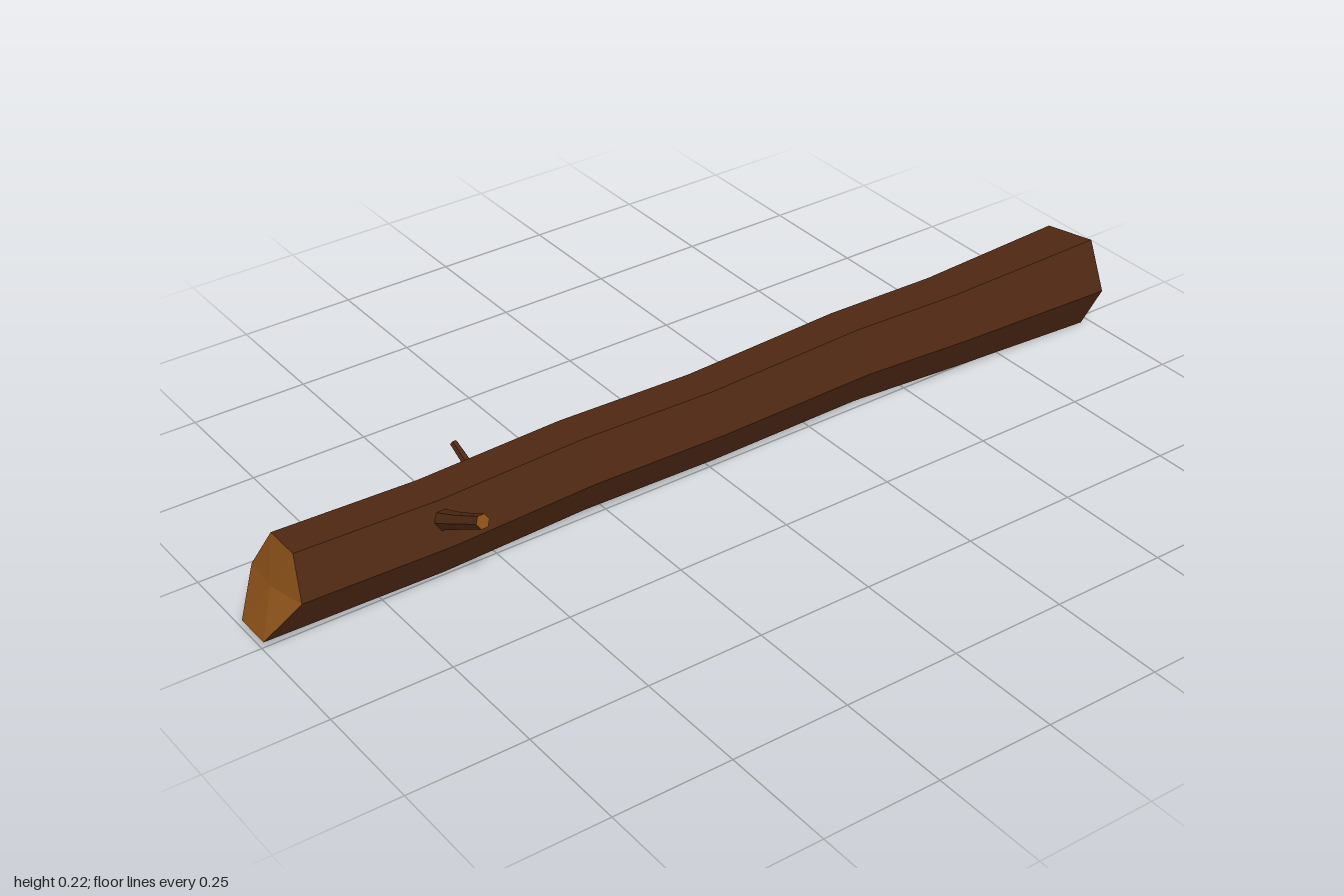
import * as THREE from 'three';

const bark = new THREE.MeshStandardMaterial({ color: 0x4e2813, flatShading: true });
const cutWood = new THREE.MeshStandardMaterial({ color: 0x8a5018, flatShading: true });
const SIDES = 6;

function meshFrom(triangles, material, name) {
  const geometry = new THREE.BufferGeometry().setFromPoints(triangles);
  geometry.computeVertexNormals();
  const mesh = new THREE.Mesh(geometry, material);
  mesh.name = name;
  return mesh;
}

// Skin between successive rings of points
function skin(rings, name) {
  const tris = [];
  for (let i = 0; i < rings.length - 1; i++) {
    for (let j = 0; j < SIDES; j++) {
      const k = (j + 1) % SIDES;
      const [a, b, c, d] = [rings[i][j], rings[i + 1][j], rings[i + 1][k], rings[i][k]];
      tris.push(a, b, d, b, c, d);
    }
  }
  return meshFrom(tris, bark, name);
}

// Fan that closes one ring
function cap(ring, atEnd, name) {
  const centre = ring.reduce((s, p) => s.add(p), new THREE.Vector3()).divideScalar(SIDES);
  const tris = [];
  ring.forEach((p, j) => {
    const q = ring[(j + 1) % SIDES];
    tris.push(centre, atEnd ? q : p, atEnd ? p : q);
  });
  return meshFrom(tris, cutWood, name);
}

// Hexagon corners as [z, y] factors: front, top front, top back, back, bottom back, bottom front
const HEX = [[1, 0], [0.5, 1], [-0.5, 1], [-1, 0], [-0.5, -1], [0.5, -1]];

// Trunk stations: x (one value, or one per corner at the rough-cut ends), y, z, radius
const STATIONS = [
  [[-0.937, -0.925, -0.925, -0.95, -1, -1], 0.102, -0.031, 0.082],
  [-0.62, 0.095, -0.031, 0.081],
  [-0.3, 0.1, -0.039, 0.081],
  [0, 0.1, -0.031, 0.08],
  [0.37, 0.1, -0.044, 0.084],
  [0.62, 0.098, -0.034, 0.088],
  [[0.985, 0.99, 0.96, 0.997, 0.96, 0.98], 0.1, -0.03, 0.1],
];

function makeTrunk() {
  const rings = STATIONS.map(([x, y, z, r]) => HEX.map(([w, h], j) =>
    new THREE.Vector3(Array.isArray(x) ? x[j] : x, y + h * r, z + w * r)));
  const trunk = new THREE.Group();
  trunk.name = 'trunk';
  trunk.add(skin(rings, 'trunkBark'), cap(rings[0], false, 'leftCut'),
    cap(rings[rings.length - 1], true, 'rightCut'));
  return trunk;
}

// Branch stub through points [x, y, z, radius]
function makeBranch(points, name) {
  const centres = points.map(([x, y, z]) => new THREE.Vector3(x, y, z));
  const dir = centres[centres.length - 1].clone().sub(centres[0]).normalize();
  const v = new THREE.Vector3(1, 0, 0).cross(dir).normalize();
  const u = dir.clone().cross(v);
  const rings = points.map((p, i) => HEX.map((_, j) => {
    const a = (j / SIDES) * Math.PI * 2;
    return centres[i].clone().addScaledVector(u, Math.cos(a) * p[3]).addScaledVector(v, Math.sin(a) * p[3]);
  }));
  const branch = new THREE.Group();
  branch.name = name;
  branch.add(skin(rings, name + 'Bark'), cap(rings[rings.length - 1], true, name + 'Cut'));
  return branch;
}

export function createModel() {
  const log = new THREE.Group();
  log.name = 'log';
  log.add(
    makeTrunk(),
    makeBranch([[-0.625, 0.135, 0.01, 0.021], [-0.622, 0.172, 0.085, 0.016], [-0.617, 0.208, 0.155, 0.0145]], 'frontBranch'),
    makeBranch([[-0.49, 0.126, -0.07, 0.011], [-0.49, 0.164, -0.155, 0.008]], 'backBranch'),
  );
  return log;
}
